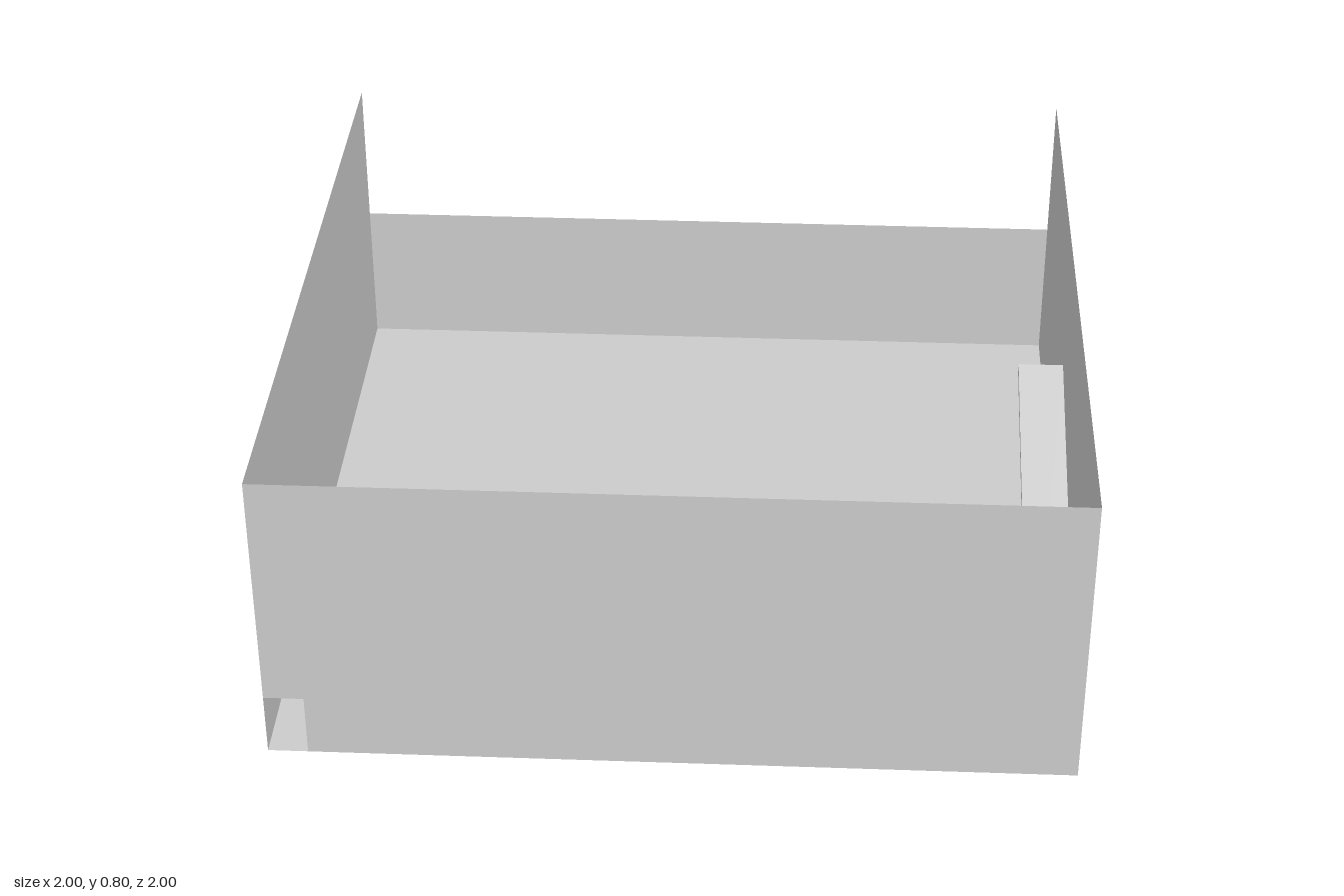
import * as THREE from 'three';

const H = 0.8;      // height of front and side walls
const BACK_H = 0.4; // height of the low back wall

export function createModel() {
  const group = new THREE.Group();
  const sheet = new THREE.MeshStandardMaterial({ color: 0xcccccc, side: THREE.DoubleSide });
  const solid = new THREE.MeshStandardMaterial({ color: 0xcccccc });

  const add = (name, geometry, material, x, y, z) => {
    const mesh = new THREE.Mesh(geometry, material);
    mesh.name = name;
    mesh.position.set(x, y, z);
    group.add(mesh);
    return mesh;
  };

  // Floor
  add('floor', new THREE.PlaneGeometry(2, 2), sheet, 0, 0, 0).rotation.x = -Math.PI / 2;

  // Side walls
  for (const s of [-1, 1]) {
    const name = s > 0 ? 'leftWall' : 'rightWall';
    add(name, new THREE.PlaneGeometry(2, H), sheet, s, H / 2, 0).rotation.y = s * Math.PI / 2;
  }

  // Low back wall
  add('backWall', new THREE.PlaneGeometry(2, BACK_H), sheet, 0, BACK_H / 2, -1).rotation.y = Math.PI;

  // Front wall with a small doorway cut from its lower corner
  const front = new THREE.Shape([
    [-0.9, 0], [1, 0], [1, H], [-1, H], [-1, 0.165], [-0.9, 0.165],
  ].map(([x, y]) => new THREE.Vector2(x, y)));
  add('frontWall', new THREE.ShapeGeometry(front), sheet, 0, 0, 1);

  // Sloping ramp along the left wall, low end towards the front
  const ramp = add('ramp', new THREE.BoxGeometry(0.12, 0.02, 1.2), solid, 0.94, 0.22, 0.362);
  ramp.rotation.x = THREE.MathUtils.degToRad(20);

  return group;
}
